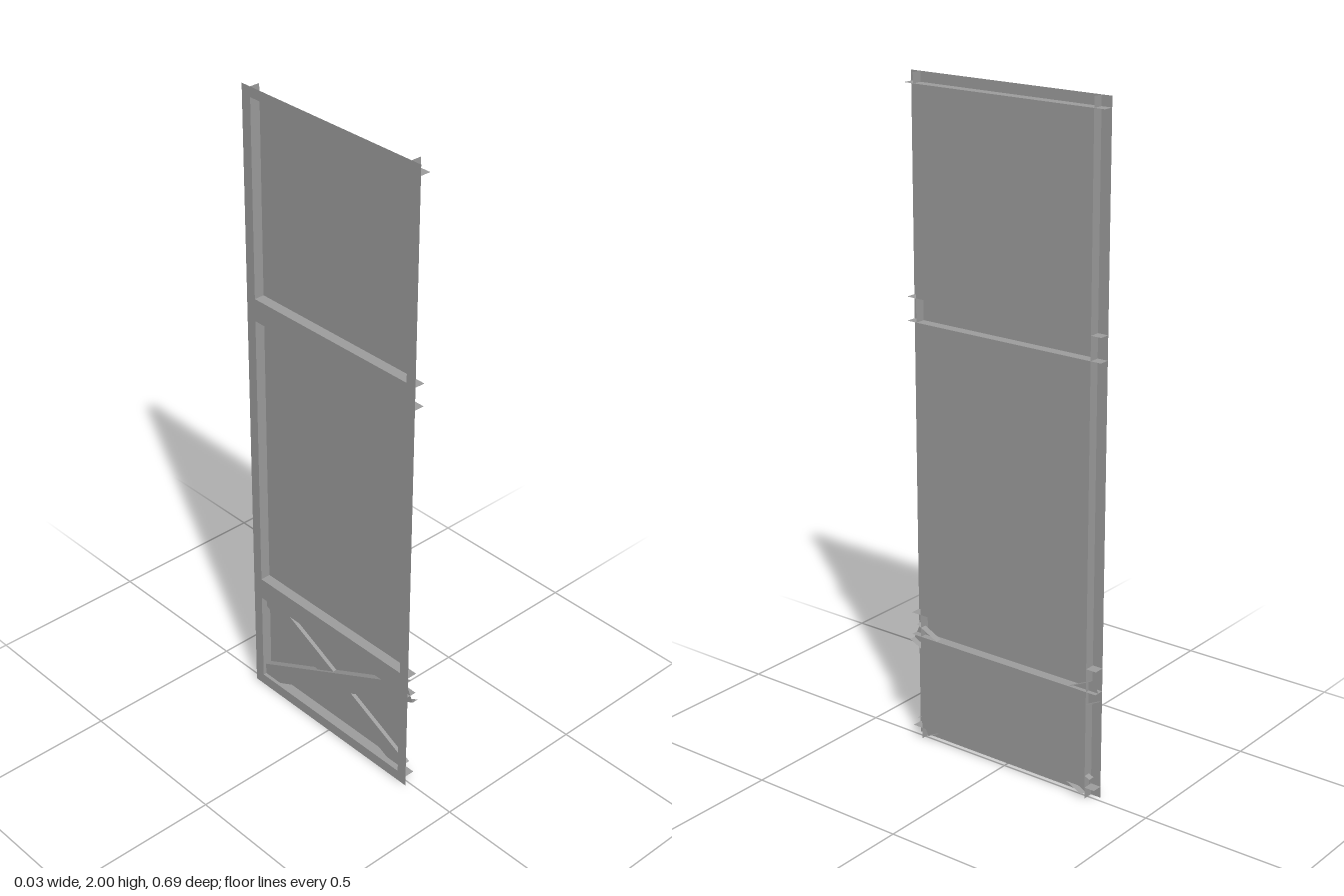
import * as THREE from 'three';

const FACE = 0.016; // x of the flush panel side
const BACK = -0.016; // x of the framed side
const HALF_WIDTH = 0.333, HALF_OPENING = 0.3, HEIGHT = 2;
const material = new THREE.MeshStandardMaterial({ color: 0x9d9d9d, side: THREE.DoubleSide });

function addMesh(parent, name, geometry) {
  const mesh = new THREE.Mesh(geometry, material);
  mesh.name = name;
  parent.add(mesh);
  return mesh;
}

// Thin strip between x = back and x = front; runs along z, or along y when upright
function addWall(parent, name, back, front, length, y, z, upright = false) {
  const wall = addMesh(parent, name, new THREE.PlaneGeometry(front - back, length));
  wall.position.set((front + back) / 2, y, z);
  wall.rotation.x = upright ? 0 : -Math.PI / 2;
}

// Rectangle in the door's plane: across is z, up is y
function rectangle(halfWidth, low, high) {
  return new THREE.Shape([
    new THREE.Vector2(-halfWidth, low), new THREE.Vector2(halfWidth, low),
    new THREE.Vector2(halfWidth, high), new THREE.Vector2(-halfWidth, high),
  ]);
}

// Flat sheet facing -x at the given x
function addSheet(parent, name, geometry, x) {
  const sheet = addMesh(parent, name, geometry);
  sheet.rotation.y = -Math.PI / 2;
  sheet.position.x = x;
}

// Hollow board with a back and two long sides
function addBrace(parent, back, width, length, y, z, angle) {
  const brace = new THREE.Group();
  brace.name = 'brace';
  brace.position.set(0, y, z);
  brace.rotation.x = angle;
  addSheet(brace, 'braceBack', new THREE.PlaneGeometry(length, width), back);
  for (const side of [1, -1]) {
    addWall(brace, 'braceSide', back, FACE - 0.0008, length, side * width / 2, 0);
  }
  parent.add(brace);
}

export function createModel() {
  const door = new THREE.Group();
  door.name = 'door';

  // Frame sheet with three openings, each closed by a panel on the far side
  const frame = rectangle(HALF_WIDTH, 0, HEIGHT);
  for (const [low, high] of [[0.035, 0.335], [0.405, 1.3], [1.37, 1.97]]) {
    const opening = rectangle(HALF_OPENING, low, high);
    frame.holes.push(opening);
    addSheet(door, 'panel', new THREE.ShapeGeometry(opening), FACE);
    // Rail sides run the full width
    for (const y of [low, high]) {
      addWall(door, 'railSide', BACK, FACE, 2 * HALF_WIDTH, y, 0);
    }
  }
  addSheet(door, 'frame', new THREE.ShapeGeometry(frame), BACK);

  // Inner sides of the stiles and the two crossed braces
  const rise = 0.307, run = 0.631;
  for (const side of [1, -1]) {
    addWall(door, 'stileSide', BACK, FACE, HEIGHT, HEIGHT / 2, side * HALF_OPENING, true);
    addBrace(door, side > 0 ? -0.005 : 0.003, 0.062, Math.hypot(rise, run),
      0.19, side * 0.0135, -side * Math.atan2(rise, run));
  }
  return door;
}
